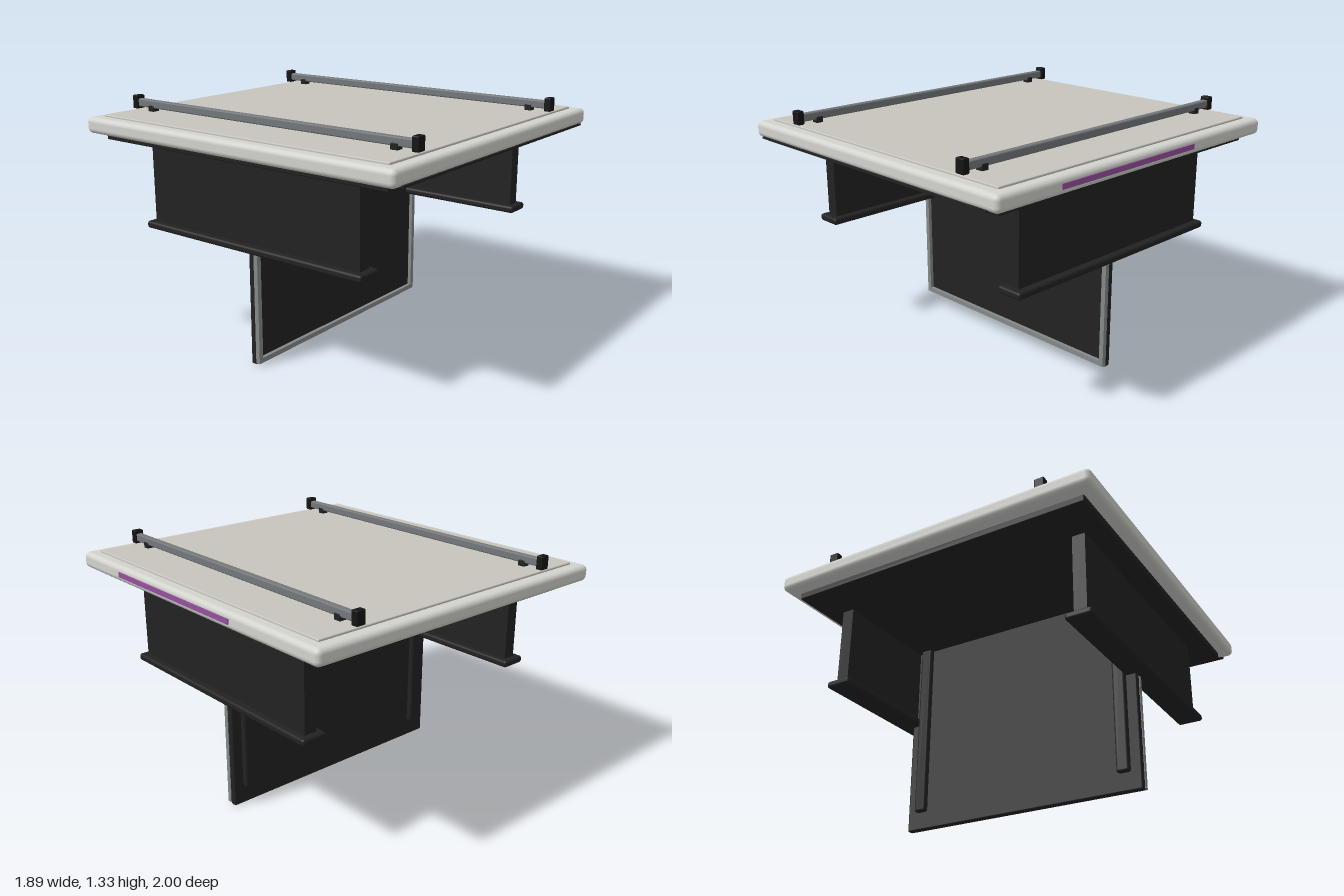
import * as THREE from 'three';
import { RoundedBoxGeometry } from 'three/addons/geometries/RoundedBoxGeometry.js';

export function createModel() {
  const model = new THREE.Group();
  const mat = (color) => new THREE.MeshStandardMaterial({ color });
  const shell = mat(0xd3d3ce), inset = mat(0xc6c4bd), dark = mat(0x222222);
  const black = mat(0x151515), steel = mat(0x74787b), trim = mat(0x85898a), violet = mat(0x95509c);

  // Box given by its [min, max] extents, optionally with rounded edges
  function block(name, material, [x0, x1], [y0, y1], [z0, z1], radius = 0) {
    const size = [x1 - x0, y1 - y0, z1 - z0];
    const geometry = radius
      ? new RoundedBoxGeometry(...size, 3, radius)
      : new THREE.BoxGeometry(...size);
    const mesh = new THREE.Mesh(geometry, material);
    mesh.name = name;
    mesh.position.set((x0 + x1) / 2, (y0 + y1) / 2, (z0 + z1) / 2);
    model.add(mesh);
    return mesh;
  }

  // Table top: rounded slab, raised panel, underside plate
  block('topSlab', shell, [-0.94, 0.94], [1.15, 1.237], [-0.995, 0.995], 0.028);
  block('topPanel', inset, [-0.875, 0.875], [1.2, 1.248], [-0.925, 0.925], 0.006);
  block('undersidePlate', dark, [-0.87, 0.87], [1.115, 1.16], [-0.915, 0.915], 0.006);
  block('frontSeam', dark, [-0.875, 0.875], [1.15, 1.16], [0.96, 1.0]);
  block('lightStrip', violet, [0.92, 0.946], [1.18, 1.207], [-0.375, 0.605]);

  for (const s of [-1, 1]) {
    const span = (a, b) => (s > 0 ? [a, b] : [-b, -a]);

    // Rail on the top with end caps and small mounts
    block('rail', steel, span(0.622, 0.658), [1.265, 1.308], [-0.91, 0.91], 0.008);
    for (const z of [-1, 1]) {
      block('railCap', black, span(0.613, 0.667), [1.253, 1.326], [z * 0.914 - 0.019, z * 0.914 + 0.019], 0.006);
      block('railMount', dark, span(0.619, 0.661), [1.24, 1.28], [z * 0.797 - 0.02, z * 0.797 + 0.02], 0.004);
    }

    // Side wall with a wider foot flange
    block('sideWall', dark, span(0.687, 0.758), [0.66, 1.13], [-0.687, 0.687]);
    block('sideFlange', dark, span(0.652, 0.797), [0.638, 0.677], [-0.722, 0.722], 0.014);

    // Edge trim and rear rib of the centre panel
    block('panelSideTrim', trim, span(0.693, 0.72), [0.01, 1.12], [-0.012, 0.013]);
    block('rearRib', dark, span(0.59, 0.66), [0.1, 1.12], [-0.076, -0.03], 0.012);
  }

  // Upright centre panel
  block('centrePanel', dark, [-0.718, 0.718], [0, 1.12], [-0.046, -0.008], 0.008);
  block('panelBottomTrim', trim, [-0.72, 0.72], [0.01, 0.037], [-0.012, 0.013]);

  return model;
}
